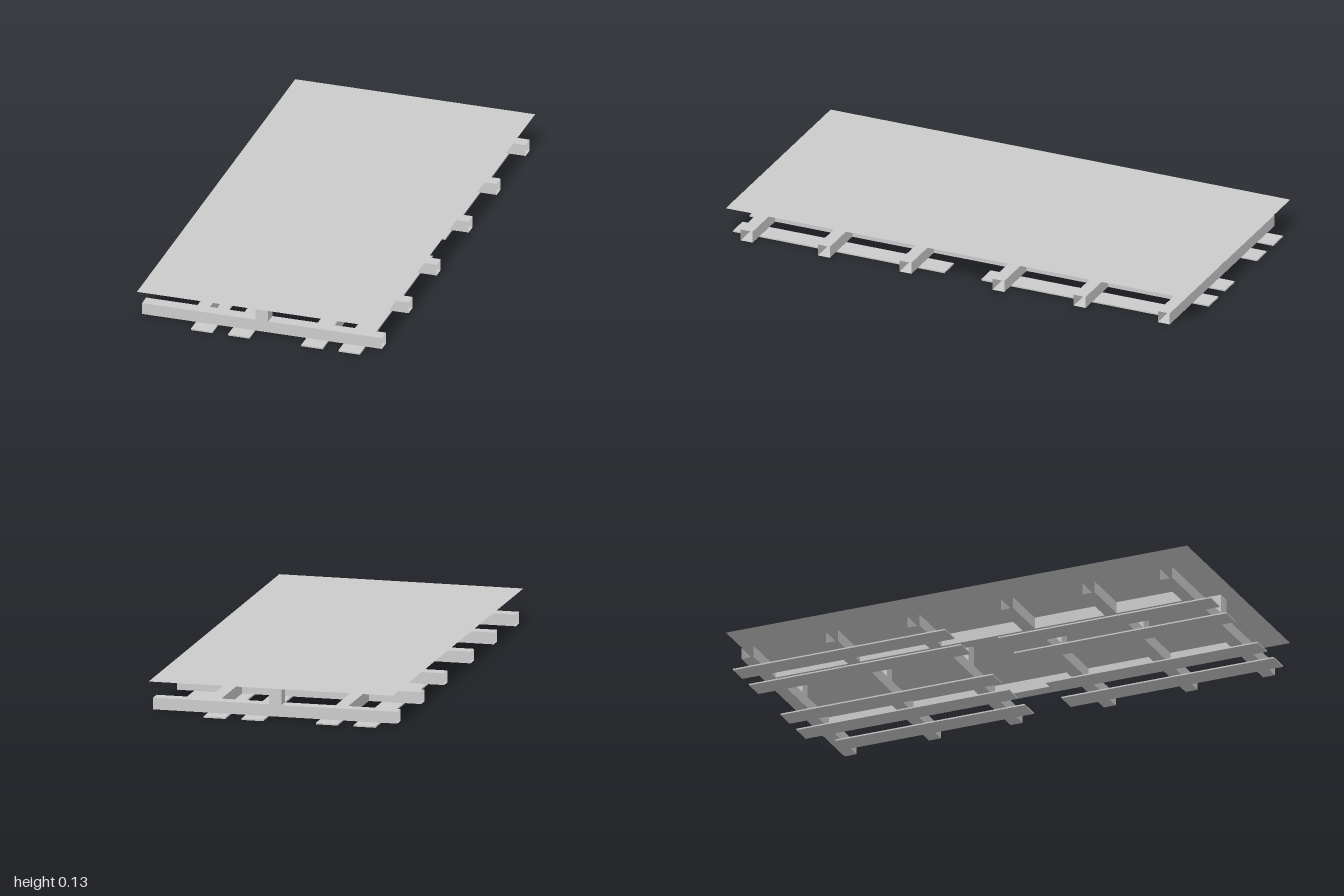
import * as THREE from 'three';

const material = new THREE.MeshStandardMaterial({ color: 0xcccccc, flatShading: true, side: THREE.DoubleSide });

export function createModel() {
  const model = new THREE.Group();
  const add = (name, geometry, x, y, z) => {
    const mesh = new THREE.Mesh(geometry, material);
    mesh.name = name;
    mesh.position.set(x, y, z);
    model.add(mesh);
    return mesh;
  };
  // box given by its limits on each axis
  const box = (name, x0, x1, y0, y1, z0, z1) =>
    add(name, new THREE.BoxGeometry(x1 - x0, y1 - y0, z1 - z0), (x0 + x1) / 2, (y0 + y1) / 2, (z0 + z1) / 2);

  const low = 0.006, mid = 0.054, top = 0.134, half = 0.026;
  const frames = [0.909, 0.573, 0.218, -0.186, -0.54, -0.906];

  // thin deck sheet
  add('deck', new THREE.PlaneGeometry(1, 2).rotateX(-Math.PI / 2), 0, top, 0);

  // hollow square crossbeams, open at both ends, each with a centre post
  const tube = new THREE.CylinderGeometry(Math.SQRT1_2, Math.SQRT1_2, 1, 4, 1, true)
    .rotateY(Math.PI / 4).rotateZ(Math.PI / 2);
  for (const z of frames) {
    add('crossbeam', tube, 0, (low + mid) / 2, z).scale.set(1, mid - low, 2 * half);
    box('post', -half, half, mid, top, z - half, z + half);
  }

  // lengthwise rails fitted between the crossbeams
  for (let i = 0; i < frames.length - 1; i++)
    for (const x of [-0.26, 0.26])
      box('rail', x - half, x + half, low, mid, frames[i + 1] + half, frames[i] - half);

  // thin ground slats, in a front and a back set with a gap between
  const slat = (x, z0, z1) => box('slat', x - 0.045, x + 0.045, 0, low, z0, z1);
  for (const x of [-0.23, -0.075, 0.23, 0.385]) {
    slat(x, 0.08, 1);
    slat(-x, -1, -0.08);
  }
  slat(0.385, -0.9, -0.08);

  return model;
}
